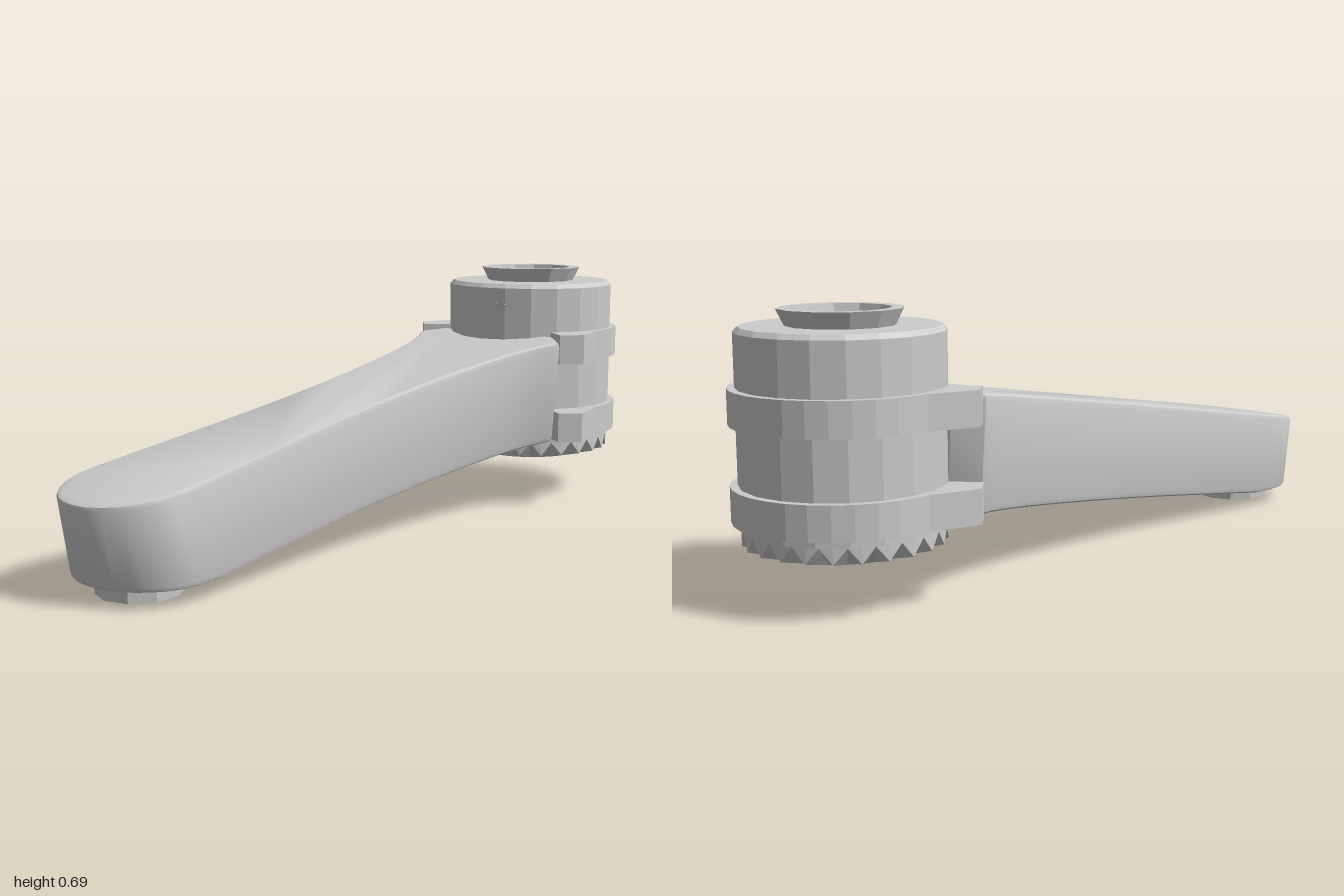
import * as THREE from 'three';
import { toCreasedNormals } from 'three/addons/utils/BufferGeometryUtils.js';

const HUB_Z = -0.735;
const smooth = new THREE.MeshStandardMaterial({ color: 0xcccccc });
const faceted = new THREE.MeshStandardMaterial({ color: 0xcccccc, flatShading: true });
const V = (x, y) => new THREE.Vector2(x, y);

function add(group, name, geometry, material, z = 0) {
  const mesh = new THREE.Mesh(geometry, material);
  mesh.name = name;
  mesh.position.z = z;
  group.add(mesh);
  return mesh;
}

// Points on an arc in plan; angle 0 is +x, 90 degrees is +z.
function arc(r, from, to, n, cz = 0) {
  return Array.from({ length: n + 1 }, (_, i) => {
    const a = THREE.MathUtils.degToRad(from + (to - from) * i / n);
    return V(r * Math.cos(a), cz + r * Math.sin(a));
  });
}

// Extrudes a plan outline given as (x, z) points upward from y0.
function extrudePlan(points, y0, height, hole, bevel = 0) {
  const flip = list => list.map(p => V(p.x, -p.y));
  const shape = new THREE.Shape(flip(points));
  if (hole) shape.holes.push(new THREE.Path(flip(hole)));
  const geometry = new THREE.ExtrudeGeometry(shape, {
    depth: height - 2 * bevel, bevelEnabled: bevel > 0, bevelSize: bevel,
    bevelThickness: bevel, bevelOffset: -bevel, bevelSegments: 2,
  });
  return geometry.rotateX(-Math.PI / 2).translate(0, y0 + bevel, 0);
}

// Waisted lever with a round end, sloping down from the hub and tapering.
function armGeometry() {
  const side = new THREE.SplineCurve([
    V(0.26, -0.52), V(0.21, -0.4), V(0.176, -0.22), V(0.156, 0),
    V(0.152, 0.25), V(0.165, 0.52), V(0.183, 0.815),
  ]).getPoints(18);
  const right = [V(0.2, -0.575), ...side];
  const left = right.map(p => V(-p.x, p.y)).reverse();
  const tip = arc(0.184, 0, 180, 14, 0.816).slice(1, -1);
  const geometry = extrudePlan([...right, ...tip, ...left], 0, 0.2, null, 0.012);
  const pos = geometry.attributes.position;
  for (let i = 0; i < pos.count; i++) {
    const x = pos.getX(i), z = pos.getZ(i), t = pos.getY(i) / 0.2;
    const top = 0.24 + (1 - z) * 0.165;
    const bottom = Math.max(0.04, 0.044 + (0.72 - z) * 0.122);
    const draft = 1 - 0.09 * (1 - t) * Math.max(0, -z / 0.52);
    pos.setXYZ(i, x * draft, bottom + (top - bottom) * t, z - 0.035 * (1 - t) * Math.max(z, 0));
  }
  return toCreasedNormals(geometry, 0.5);
}

// Bevelled ring of radial teeth.
function teethGeometry() {
  const geometry = new THREE.LatheGeometry([V(0.163, 0.12), V(0.243, 0.14), V(0.243, 0.19)], 48);
  const pos = geometry.attributes.position;
  for (let i = 0; i <= 48; i++) if (i % 2) pos.setY(i * 3 + 1, 0.178);
  return geometry;
}

export function createModel() {
  const model = new THREE.Group();
  model.name = 'clampLever';

  add(model, 'arm', armGeometry(), smooth);

  // Round foot under the free end
  const foot = new THREE.CylinderGeometry(0.108, 0.105, 0.06, 10);
  add(model, 'foot', foot.translate(0, 0.03, 0), faceted, 0.815);

  // Hub barrel with a chamfered top rim
  const hub = new THREE.LatheGeometry(
    [V(0.15, 0.18), V(0.247, 0.18), V(0.247, 0.638), V(0.236, 0.65), V(0.11, 0.65)], 20);
  add(model, 'hub', hub, faceted, HUB_Z);

  // Flared collar on top
  const collar = new THREE.LatheGeometry(
    [V(0.128, 0.645), V(0.15, 0.69), V(0.12, 0.69), V(0.105, 0.615)], 12);
  add(model, 'collar', collar, faceted, HUB_Z);

  // Core with a hexagonal through hole
  const core = extrudePlan(arc(0.163, 0, 360, 24).slice(1), 0.12, 0.505,
    arc(0.075, 30, 390, 6).slice(1));
  add(model, 'core', core, faceted, HUB_Z);

  add(model, 'teeth', teethGeometry(), faceted, HUB_Z);

  // Two clamp bands running round the back, ending in ears beside the arm
  const ear = [V(0.266, 0.03), V(0.303, 0.155), V(0.255, 0.208), V(0.195, 0.163)];
  const band = [
    ...arc(0.265, 180, 360, 16), ...ear,
    ...arc(0.236, 40, -220, 20),
    ...ear.map(p => V(-p.x, p.y)).reverse(),
  ];
  for (const [name, y] of [['lowerBand', 0.196], ['upperBand', 0.425]]) {
    add(model, name, extrudePlan(band, y, 0.085), faceted, HUB_Z);
  }

  // Small index mark on the front of the hub
  const mark = new THREE.ConeGeometry(0.03, 0.012, 3).rotateX(Math.PI);
  add(model, 'indexMark', mark.scale(1, 1, 0.4).translate(0.065, 0.586, 0.235), faceted, HUB_Z);

  return model;
}
